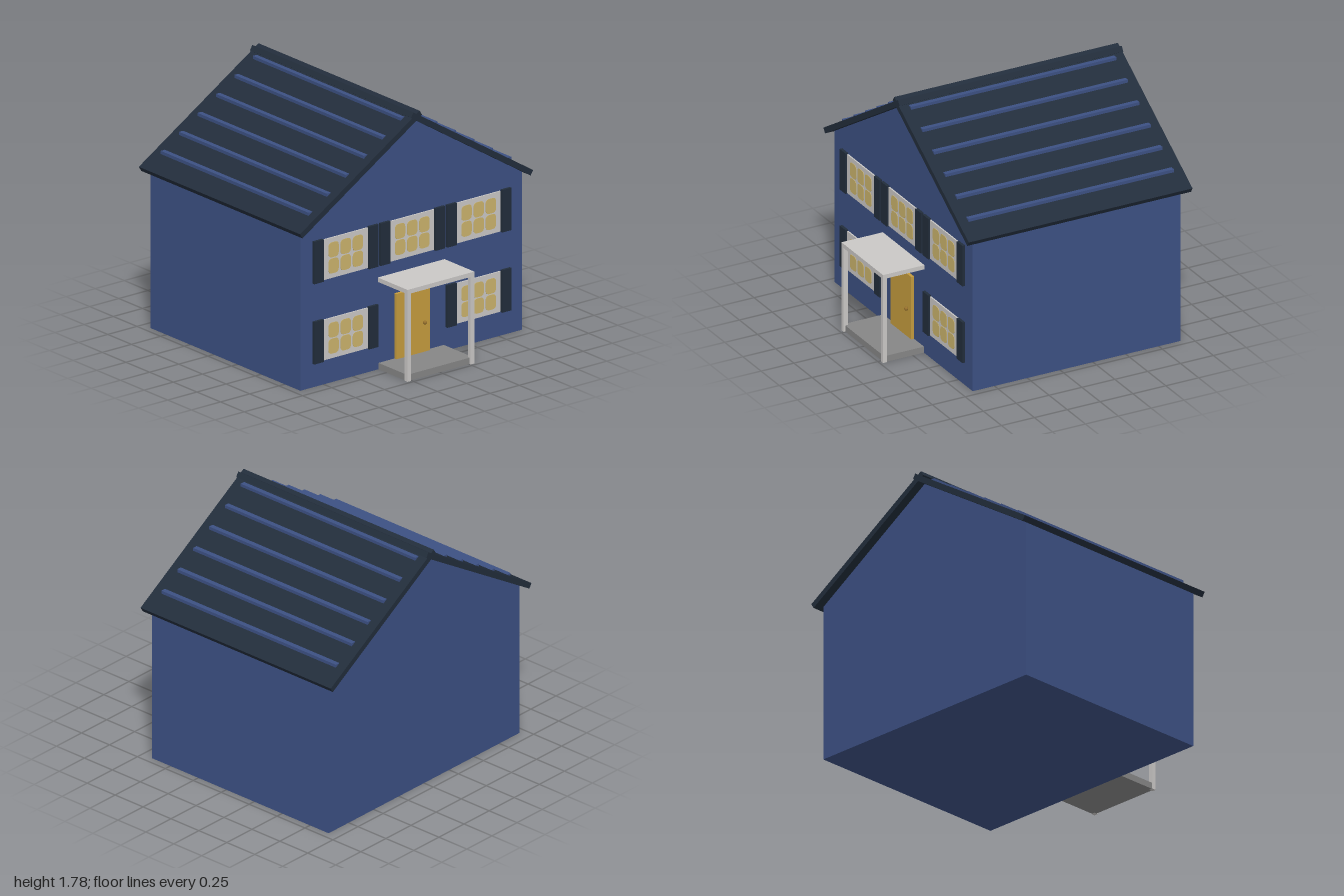
import * as THREE from 'three';

const mat = (name, color) => {
  const m = new THREE.MeshStandardMaterial({ color });
  m.name = name;
  return m;
};

export function createModel() {
  const wall = mat('wall blue', 0x3c5083);
  const slate = mat('dark slate', 0x222d3b);
  const trim = mat('pale trim', 0xcac8c6);
  const gold = mat('door gold', 0xc59c3e);
  const glass = mat('warm glass', 0xcbb36c);
  const stone = mat('step grey', 0x868686);
  const brass = mat('knob brass', 0x96702c);

  const house = new THREE.Group();
  house.name = 'house';
  const FRONT = 0.665, BACK = -0.917;

  const add = (parent, name, geometry, material, x = 0, y = 0, z = 0) => {
    const mesh = new THREE.Mesh(geometry, material);
    mesh.name = name;
    mesh.position.set(x, y, z);
    parent.add(mesh);
    return mesh;
  };
  // Box given by its limits on each axis
  const box = (parent, name, material, x0, x1, y0, y1, z0, z1) =>
    add(parent, name, new THREE.BoxGeometry(x1 - x0, y1 - y0, z1 - z0), material,
      (x0 + x1) / 2, (y0 + y1) / 2, (z0 + z1) / 2);

  // Walls and triangular gable
  box(house, 'walls', wall, -0.95, 0.95, 0, 1.135, BACK, FRONT);
  const triangle = new THREE.Shape([
    new THREE.Vector2(-0.95, 1.135), new THREE.Vector2(0.95, 1.135), new THREE.Vector2(0, 1.725),
  ]);
  add(house, 'gable', new THREE.ExtrudeGeometry(triangle, { depth: FRONT - BACK, bevelEnabled: false }),
    wall, 0, 0, BACK);

  // Stepped attic layers that show through the roof as ribs
  for (let i = 0; i < 6; i++) {
    const half = 0.87 - i * 0.158, y = 1.14 + i * 0.0985;
    box(house, 'atticLayer', wall, -half, half, y, y + 0.0985, -0.91, 0.652);
  }

  // Two roof slabs crossing at the ridge
  for (const s of [-1, 1]) {
    const slab = add(house, 'roofSlab', new THREE.BoxGeometry(1.21, 0.04, 1.703), slate, s * 0.476, 1.439, -0.129);
    slab.rotation.z = -s * THREE.MathUtils.degToRad(32);
  }

  // Rounded window pane, as a thin plate
  const roundedPane = (w, h, r) => {
    const p = new THREE.Shape();
    const x = w / 2, y = h / 2;
    p.moveTo(-x + r, -y);
    p.lineTo(x - r, -y);
    p.quadraticCurveTo(x, -y, x, -y + r);
    p.lineTo(x, y - r);
    p.quadraticCurveTo(x, y, x - r, y);
    p.lineTo(-x + r, y);
    p.quadraticCurveTo(-x, y, -x, y - r);
    p.lineTo(-x, -y + r);
    p.quadraticCurveTo(-x, -y, -x + r, -y);
    return new THREE.ExtrudeGeometry(p, { depth: 0.004, bevelEnabled: false, curveSegments: 5 });
  };
  const paneGeometry = roundedPane(0.087, 0.106, 0.03);

  // Windows with six panes and a pair of shutters
  const addWindow = (x, y) => {
    const g = new THREE.Group();
    g.name = 'window';
    g.position.set(x, y, FRONT);
    house.add(g);
    box(g, 'frame', trim, -0.19, 0.19, -0.143, 0.143, -0.005, 0.01);
    for (const col of [-1, 0, 1])
      for (const row of [-1, 1])
        add(g, 'pane', paneGeometry, glass, col * 0.104, row * 0.057, 0.009);
    for (const s of [-1, 1])
      add(g, 'shutter', new THREE.BoxGeometry(0.08, 0.3, 0.025), slate, s * 0.235, 0, 0.0075);
  };
  for (const x of [-0.57, 0, 0.57]) addWindow(x, 0.885);
  for (const x of [-0.57, 0.57]) addWindow(x, 0.317);

  // Front door
  box(house, 'door', gold, -0.143, 0.143, 0.045, 0.507, FRONT - 0.005, 0.687);
  add(house, 'doorKnob', new THREE.SphereGeometry(0.014, 16, 12), brass, 0.093, 0.255, 0.697);

  // Porch: step, two posts and flat canopy
  box(house, 'porchStep', stone, -0.28, 0.28, 0, 0.045, FRONT, 0.968);
  box(house, 'porchCanopy', trim, -0.286, 0.286, 0.62, 0.651, FRONT, 0.98);
  for (const s of [-1, 1])
    add(house, 'porchPost', new THREE.BoxGeometry(0.031, 0.62, 0.031), trim, s * 0.2705, 0.31, 0.9645);

  return house;
}
